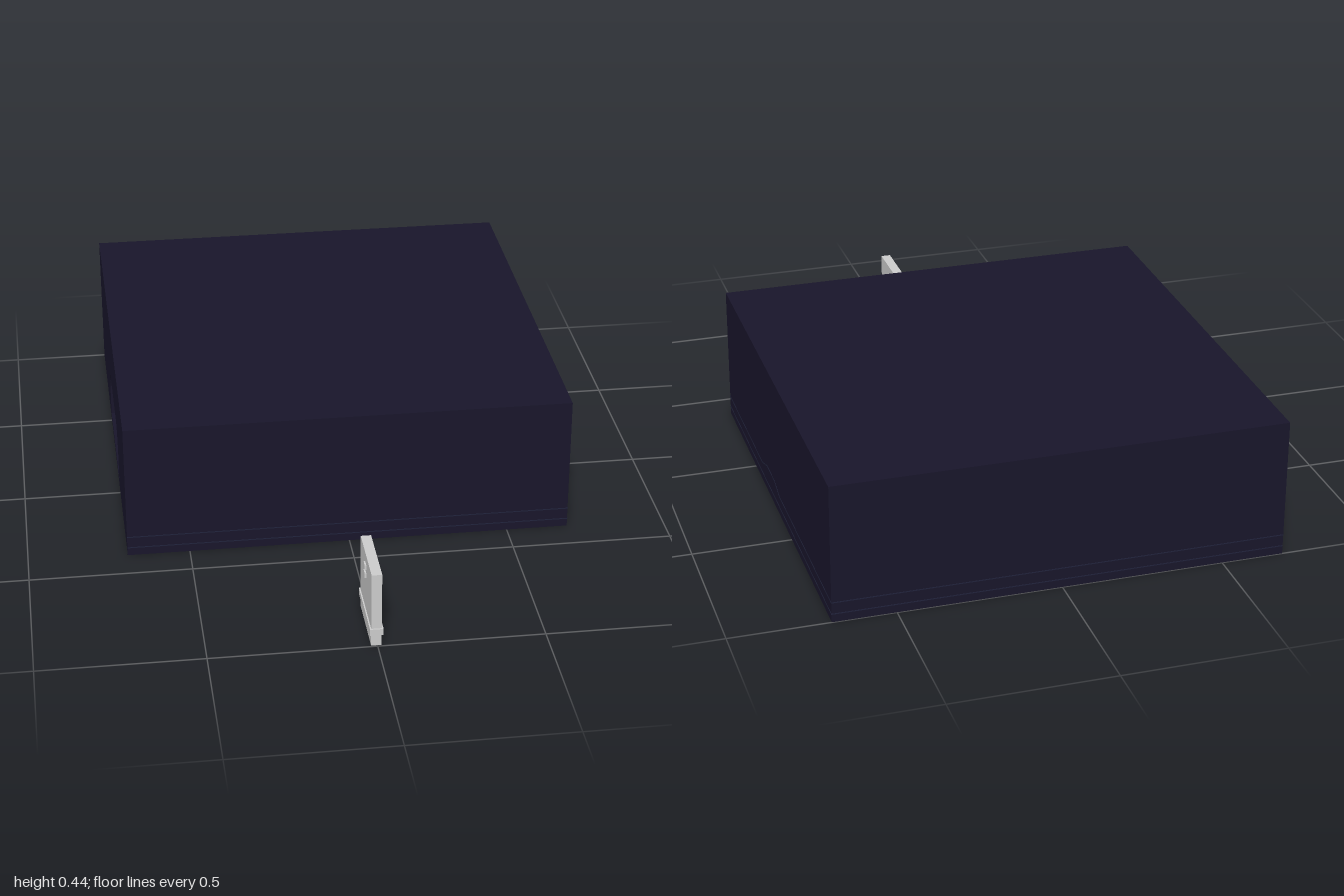
import * as THREE from 'three';

const DARK = new THREE.MeshStandardMaterial({ color: 0x18152a });
const TRIM = new THREE.MeshStandardMaterial({ color: 0x20223a });
const GREY = new THREE.MeshStandardMaterial({ color: 0xcccccc });

// Box given by its minimum and maximum corners
function block(name, mat, [x0, y0, z0], [x1, y1, z1]) {
  const mesh = new THREE.Mesh(new THREE.BoxGeometry(x1 - x0, y1 - y0, z1 - z0), mat);
  mesh.name = name;
  mesh.position.set((x0 + x1) / 2, (y0 + y1) / 2, (z0 + z1) / 2);
  return mesh;
}

// Shape drawn in (z, y), extruded along x from x0 to x0 + depth
function sidePanel(name, mat, shape, x0, depth) {
  const geo = new THREE.ExtrudeGeometry(shape, { depth, bevelEnabled: false, curveSegments: 8 });
  geo.rotateY(-Math.PI / 2).translate(x0 + depth, 0, 0);
  const mesh = new THREE.Mesh(geo, mat);
  mesh.name = name;
  return mesh;
}

export function createModel() {
  const model = new THREE.Group();
  const W = 0.693, H = 0.437, Z0 = -0.999, Z1 = 0.393, T = 0.03, FLOOR = 0.022;

  // Hollow room: floor, roof and three plain walls
  const room = new THREE.Group();
  room.name = 'room';
  room.add(
    block('floor', DARK, [-W, 0, Z0], [W, FLOOR, Z1]),
    block('roof', DARK, [-W, H - T, Z0], [W, H, Z1]),
    block('frontWall', DARK, [-W, FLOOR, Z1 - T], [W, H - T, Z1]),
    block('backWall', DARK, [-W, FLOOR, Z0], [W, H - T, Z0 + T]),
    block('leftWall', DARK, [W - T, FLOOR, Z0 + T], [W, H - T, Z1 - T])
  );

  // Right wall with a round-cornered doorway open down to the floor
  const a = -0.51, b = -0.05, r = 0.075, top = 0.2;
  const wall = new THREE.Shape();
  wall.moveTo(Z0 + T, FLOOR);
  wall.lineTo(a, FLOOR);
  wall.lineTo(a, top - r);
  wall.quadraticCurveTo(a + 0.01, top - 0.01, a + r, top);
  wall.lineTo(b - r, top);
  wall.quadraticCurveTo(b - 0.01, top - 0.01, b, top - r);
  wall.lineTo(b, FLOOR);
  wall.lineTo(Z1 - T, FLOOR);
  wall.lineTo(Z1 - T, H - T);
  wall.lineTo(Z0 + T, H - T);
  room.add(sidePanel('doorwayWall', DARK, wall, -W, T));
  model.add(room);

  // Fine trim lines near the bottom of the walls
  const trim = new THREE.Group();
  trim.name = 'trim';
  const e = 0.001, h = 0.003;
  for (const y of [0.025, 0.062]) {
    trim.add(
      block('frontTrim', TRIM, [-W, y, Z1], [W, y + h, Z1 + e]),
      block('backTrim', TRIM, [-W, y, Z0 - e], [W, y + h, Z0])
    );
  }
  trim.add(block('leftLowerTrim', TRIM, [W, 0.025, Z0], [W + e, 0.025 + h, Z1]));

  // The upper left trim rises over a shallow hump
  const line = [[Z0, 0.062], [-0.34, 0.062], [-0.27, 0.084], [-0.17, 0.084], [-0.1, 0.062], [Z1, 0.062]];
  const hump = new THREE.Shape([
    ...line.map(([z, y]) => new THREE.Vector2(z, y)),
    ...line.slice().reverse().map(([z, y]) => new THREE.Vector2(z, y + h))
  ]);
  trim.add(sidePanel('leftHumpTrim', TRIM, hump, W, e));
  model.add(trim);

  // Separate door leaf standing in front of the room
  const door = new THREE.Group();
  door.name = 'door';
  door.add(
    block('doorPanel', GREY, [-0.019, 0, 0.77], [0.012, 0.24, 0.995]),
    block('doorBand', GREY, [-0.023, 0.037, 0.765], [0.017, 0.058, 1]),
    block('upperKnob', GREY, [-0.024, 0.195, 0.865], [-0.019, 0.21, 0.89]),
    block('lowerKnob', GREY, [-0.024, 0.168, 0.865], [-0.019, 0.183, 0.89])
  );
  model.add(door);
  return model;
}
